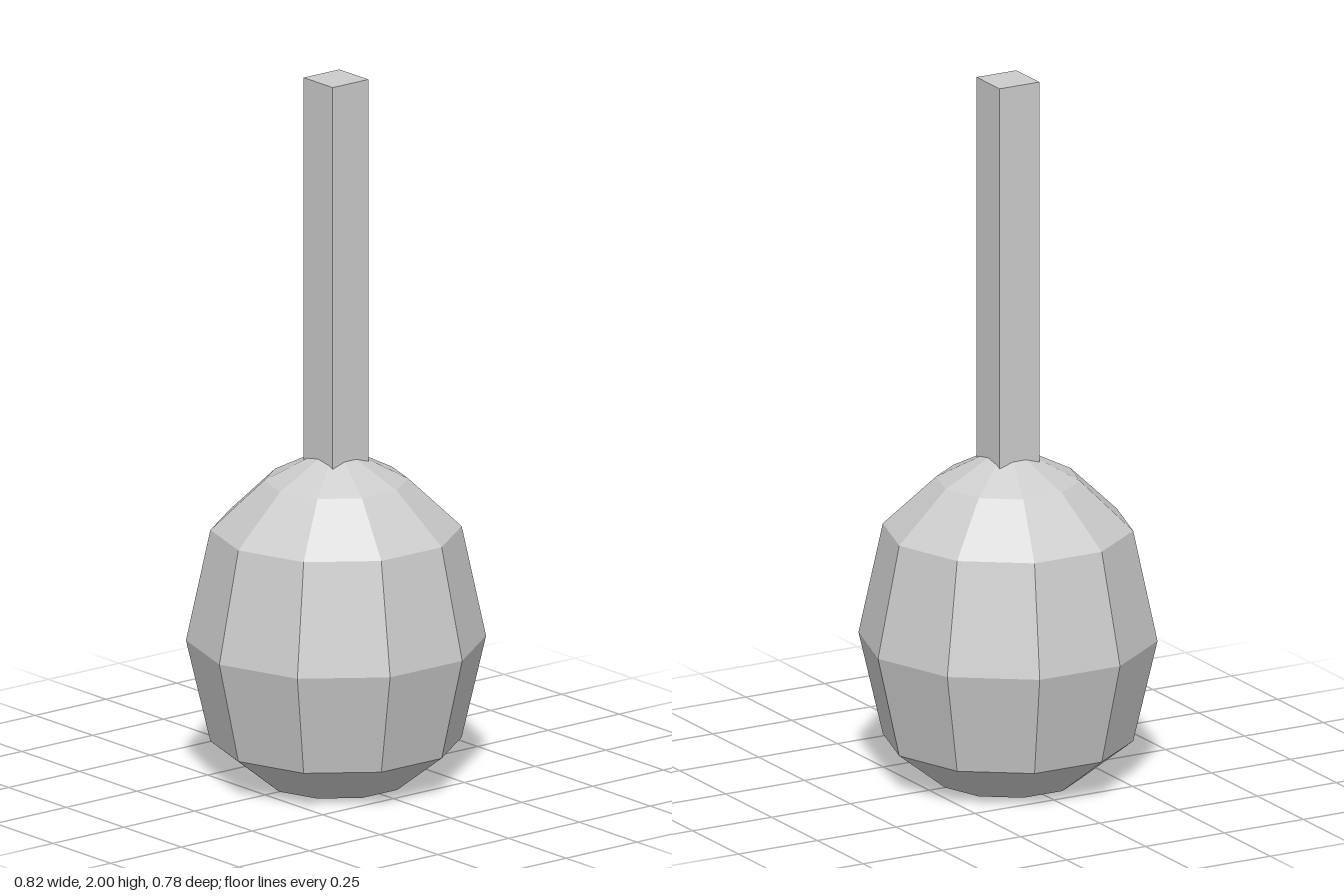
import * as THREE from 'three';

export function createModel() {
  const group = new THREE.Group();
  const grey = new THREE.MeshStandardMaterial({ color: 0xcccccc, flatShading: true });
  grey.name = 'light grey';

  // Ten-sided faceted head with a flat bottom
  const profile = [
    [0, 0], [0.2, 0], [0.345, 0.113], [0.412, 0.402],
    [0.345, 0.716], [0.198, 0.855], [0, 0.957],
  ].map(([r, y]) => new THREE.Vector2(r, y));
  const head = new THREE.Mesh(
    new THREE.LatheGeometry(profile, 10, Math.PI / 2).toNonIndexed(), grey);
  head.geometry.computeVertexNormals();
  head.name = 'head';
  group.add(head);

  // Square handle sunk into the top of the head
  const bottom = 0.88, top = 2;
  const handle = new THREE.Mesh(new THREE.BoxGeometry(0.126, top - bottom, 0.126), grey);
  handle.position.y = (top + bottom) / 2;
  handle.name = 'handle';
  group.add(handle);

  return group;
}
